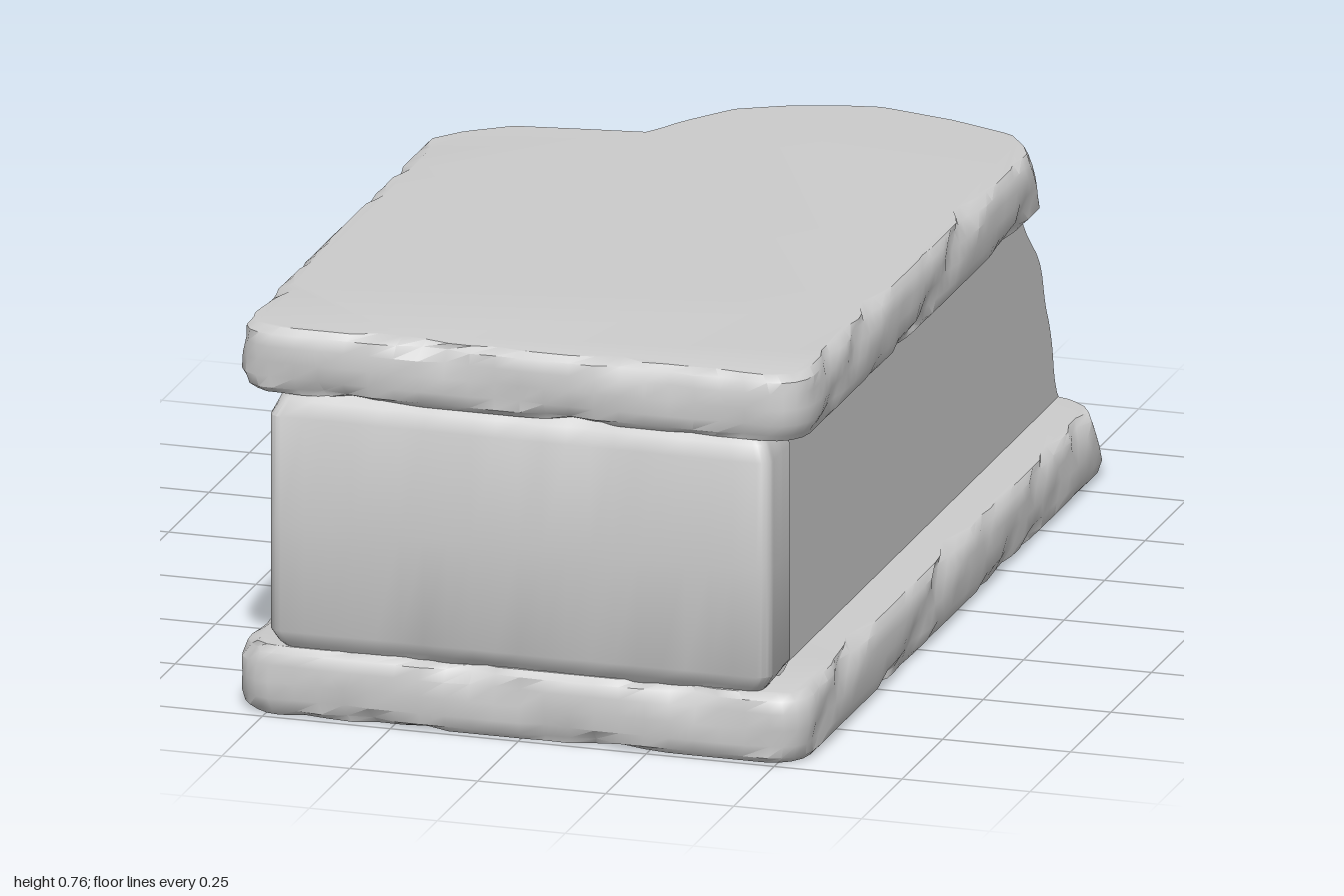
import * as THREE from 'three';
import { toCreasedNormals } from 'three/addons/utils/BufferGeometryUtils.js';

const material = new THREE.MeshStandardMaterial({ color: 0xcccccc });

// Piecewise linear lookup in a list of [key, value]
function lookup(table, k) {
  if (k <= table[0][0]) return table[0][1];
  for (let i = 1; i < table.length; i++) {
    const [k0, v0] = table[i - 1], [k1, v1] = table[i];
    if (k <= k1) return v0 + (v1 - v0) * (k - k0) / (k1 - k0);
  }
  return table[table.length - 1][1];
}

// Broken rear edge [x, z] at the foot and at the top face
const footEdge = [[-0.56, -0.42], [-0.53, -0.51], [-0.48, -0.64], [-0.36, -0.68], [-0.22, -0.70], [-0.1, -0.79],
  [0.04, -0.87], [0.13, -0.90], [0.2, -0.96], [0.28, -1.0], [0.4, -0.985], [0.49, -0.95], [0.53, -0.91], [0.56, -0.84]];
const topEdge = [[-0.56, -0.16], [-0.5, -0.24], [-0.42, -0.30], [-0.3, -0.32], [-0.17, -0.34], [-0.13, -0.42],
  [-0.06, -0.52], [0.03, -0.57], [0.12, -0.60], [0.2, -0.615], [0.35, -0.58], [0.48, -0.53], [0.53, -0.46], [0.56, -0.38]];
// How far the fracture has moved from foot edge to top edge at height y
const slope = [[0, 0.1], [0.03, 0], [0.08, 0.04], [0.14, 0.13], [0.3, 0.28], [0.45, 0.5], [0.6, 0.78], [0.7, 0.86], [0.73, 0.92], [0.76, 1]];

function fracture(x, y) {
  const t = lookup(slope, y);
  const swell = Math.sin(Math.PI * Math.min(1, y / 0.76));
  const lumps = 0.02 * Math.sin(11 * x + 9 * y + 1) + 0.014 * Math.sin(23 * x - 17 * y) + 0.01 * Math.sin(31 * y + 8 * x);
  return lookup(footEdge, x) * (1 - t) + lookup(topEdge, x) * t + swell * (lumps + 0.015);
}

// Irregular chipping along an edge, 0..1
function chip(s, seed) {
  const n = Math.sin(s * 9.1 + seed * 2.3) + 0.8 * Math.sin(s * 21.7 + seed * 5.1) + 0.5 * Math.sin(s * 43 + seed);
  return Math.max(0, n / 2.3);
}

// Plan outline, counterclockwise from above, starting at the rear on the -x side
function outline(o, level, seed) {
  const { y, inset, rough } = level, pts = [];
  const w = o.width - inset, f = o.front - inset, r = o.radius;
  const sideSteps = 40, frontSteps = 20, backSteps = 56;
  const add = (x, z, nx, nz) => {
    const d = rough * chip(x * 1.3 + z + (x > 0 ? 7 : 0), seed);
    pts.push([x - nx * d, y, z - nz * d]);
  };
  const side = (sx, i) => {
    const z0 = o.back(sx * w, y), k = i / sideSteps;
    add(sx * w, z0 + (f - r - z0) * k, i === 0 ? 0 : sx, 0);
  };
  const corner = (sx, k) => {
    const a = k * Math.PI / 2;
    add(sx * (w - r + r * Math.cos(a)), f - r + r * Math.sin(a), sx * Math.cos(a), Math.sin(a));
  };
  for (let i = 0; i < sideSteps; i++) side(-1, i);
  for (let i = 0; i <= 4; i++) corner(-1, i / 4);
  for (let i = 1; i < frontSteps; i++) add((w - r) * (2 * i / frontSteps - 1), f, 0, 1);
  for (let i = 4; i >= 0; i--) corner(1, i / 4);
  for (let i = sideSteps - 1; i >= 0; i--) side(1, i);
  for (let i = 1; i < backSteps; i++) {
    const x = w * (1 - 2 * i / backSteps);
    pts.push([x, y, o.back(x, y)]);
  }
  return pts;
}

// Stack outlines into a closed solid
function stoneMesh(name, o) {
  const rings = o.levels.map((level, i) => outline(o, level, o.seed + i * 0.35));
  const n = rings[0].length, index = [];
  for (let j = 0; j < rings.length - 1; j++) {
    for (let i = 0; i < n; i++) {
      const a = j * n + i, b = j * n + (i + 1) % n;
      index.push(a, b, b + n, a, b + n, a + n);
    }
  }
  const cap = (ring) => THREE.ShapeUtils.triangulateShape(ring.map((p) => new THREE.Vector2(p[0], -p[2])), []);
  const last = (rings.length - 1) * n;
  for (const [a, b, c] of cap(rings[0])) index.push(a, c, b);
  for (const [a, b, c] of cap(rings[rings.length - 1])) index.push(last + a, last + b, last + c);
  const geometry = new THREE.BufferGeometry();
  geometry.setAttribute('position', new THREE.Float32BufferAttribute(rings.flat(2), 3));
  geometry.setIndex(index);
  const mesh = new THREE.Mesh(toCreasedNormals(geometry, 0.75), material);
  mesh.name = name;
  return mesh;
}

// Slab with worn edges at top and bottom
const slabLevels = (y0, y1) => [
  { y: y0, inset: 0.018, rough: 0.03 },
  { y: y0 + 0.012, inset: 0.006, rough: 0.022 },
  { y: y0 + 0.035, inset: 0, rough: 0.012 },
  { y: (y0 + y1) / 2, inset: 0, rough: 0.008 },
  { y: y1 - 0.035, inset: 0, rough: 0.012 },
  { y: y1 - 0.012, inset: 0.006, rough: 0.022 },
  { y: y1, inset: 0.018, rough: 0.03 },
];

export function createModel() {
  const group = new THREE.Group();
  group.name = 'brokenStoneBeam';

  // Overhanging slabs
  const slab = { width: 0.56, front: 1, radius: 0.07, back: fracture };
  group.add(stoneMesh('bottomSlab', { ...slab, seed: 1, levels: slabLevels(0, 0.135) }));
  group.add(stoneMesh('topSlab', { ...slab, seed: 4, levels: slabLevels(0.63, 0.76) }));

  // Recessed core, broken at the rear
  const coreLevels = [];
  for (let i = 0; i <= 20; i++) coreLevels.push({ y: 0.12 + 0.026 * i, inset: 0, rough: 0 });
  group.add(stoneMesh('core', { width: 0.46, front: 0.9, radius: 0.01, back: fracture, seed: 0, levels: coreLevels }));

  // End block, flush with the front of the slabs
  group.add(stoneMesh('endBlock', {
    width: 0.49, front: 1, radius: 0.025, back: () => 0.87, seed: 8,
    levels: [
      { y: 0.125, inset: 0.03, rough: 0.01 }, { y: 0.145, inset: 0.012, rough: 0.012 },
      { y: 0.17, inset: 0, rough: 0.004 }, { y: 0.38, inset: 0, rough: 0.003 }, { y: 0.59, inset: 0, rough: 0.004 },
      { y: 0.62, inset: 0.012, rough: 0.012 }, { y: 0.64, inset: 0.03, rough: 0.01 },
    ],
  }));
  return group;
}
